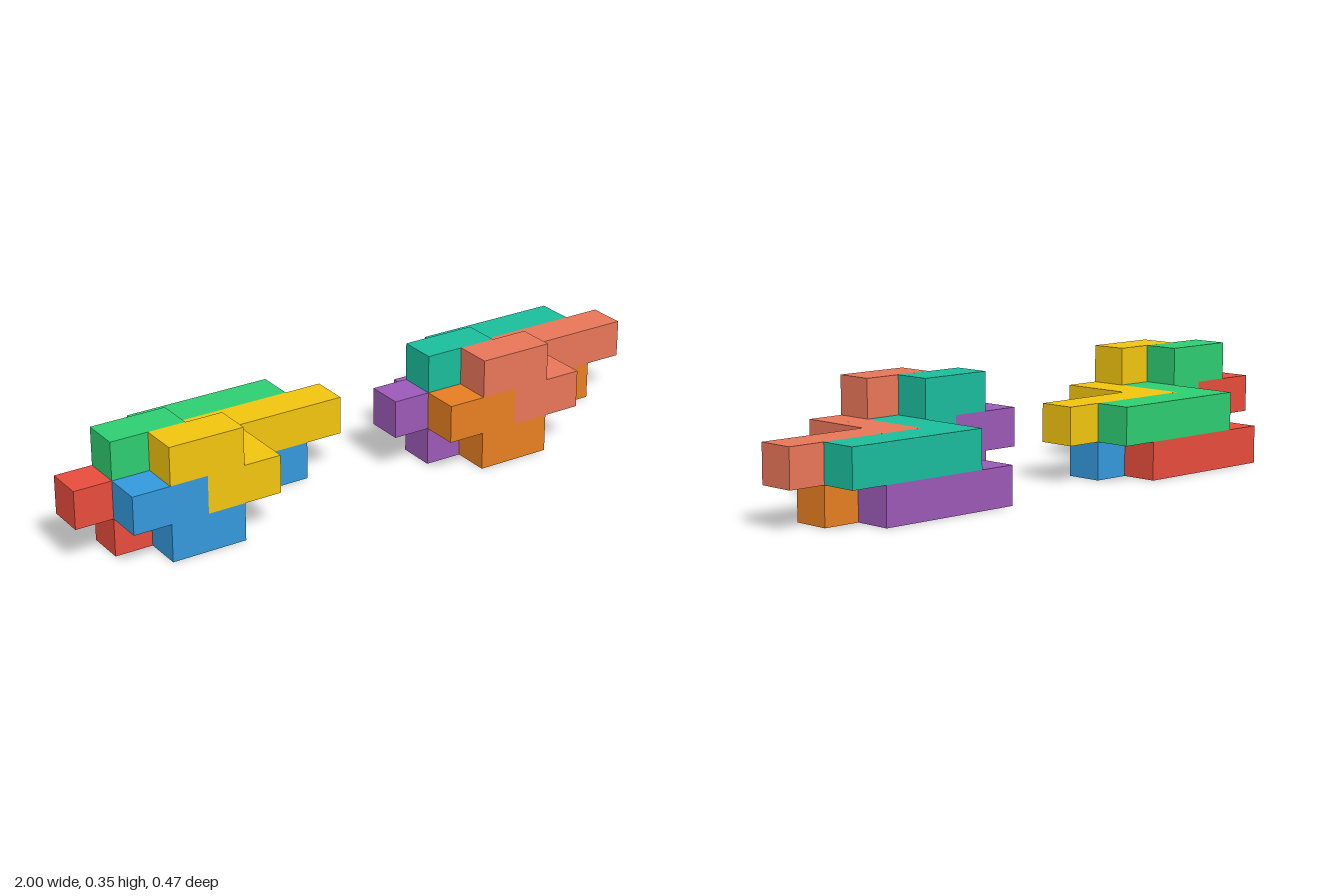
import * as THREE from 'three';
import { mergeGeometries } from 'three/addons/utils/BufferGeometryUtils.js';

const U = 2 / 17; // edge of one unit cube

// One bent piece as unit cells [x, y, z]: raised arm, crossbar, long arm
const CELLS = [
  [0, 1, 2], [1, 1, 2],
  [1, 0, 2], [2, 0, 2], [2, 0, 1],
  [2, 0, 0], [3, 0, 0], [4, 0, 0], [5, 0, 0],
];

const SIDES = [[1, 0, 0], [-1, 0, 0], [0, 1, 0], [0, -1, 0], [0, 0, 1], [0, 0, -1]];

// Outer skin of the cells: a square wherever a cell has no neighbour
function skin(cells) {
  const filled = new Set(cells.map(String));
  const faces = [];
  for (const c of cells) {
    for (const d of SIDES) {
      if (filled.has(String(c.map((v, i) => v + d[i])))) continue;
      const face = new THREE.PlaneGeometry(U, U);
      face.lookAt(new THREE.Vector3(...d));
      const [x, y, z] = c.map((v, i) => (v + 0.5 + d[i] / 2) * U);
      faces.push(face.translate(x, y, z));
    }
  }
  return mergeGeometries(faces);
}

// Nested positions of the four identical pieces, in cells
const SLOTS = [
  ['lowerBackPiece', 0, 0, 0],
  ['lowerFrontPiece', 1, 0, 1],
  ['upperBackPiece', 1, 1, 0],
  ['upperFrontPiece', 2, 1, 1],
];

// The two clusters, with colours in slot order
const CLUSTERS = [
  { name: 'rightCluster', start: 0, colors: [0xe74c3c, 0x3498db, 0x2ecc71, 0xf1c40f] },
  { name: 'leftCluster', start: 9, colors: [0x9b59b6, 0xe67e22, 0x1abc9c, 0xe87559] },
];

export function createModel() {
  const model = new THREE.Group();
  model.name = 'interlockingBlocks';
  const geometry = skin(CELLS);

  for (const { name, start, colors } of CLUSTERS) {
    const cluster = new THREE.Group();
    cluster.name = name;
    cluster.position.set(-1 + start * U, 0, -2 * U);
    SLOTS.forEach(([part, x, y, z], i) => {
      const piece = new THREE.Mesh(geometry, new THREE.MeshStandardMaterial({ color: colors[i] }));
      piece.name = part;
      piece.position.set(x * U, y * U, z * U);
      cluster.add(piece);
    });
    model.add(cluster);
  }
  return model;
}
